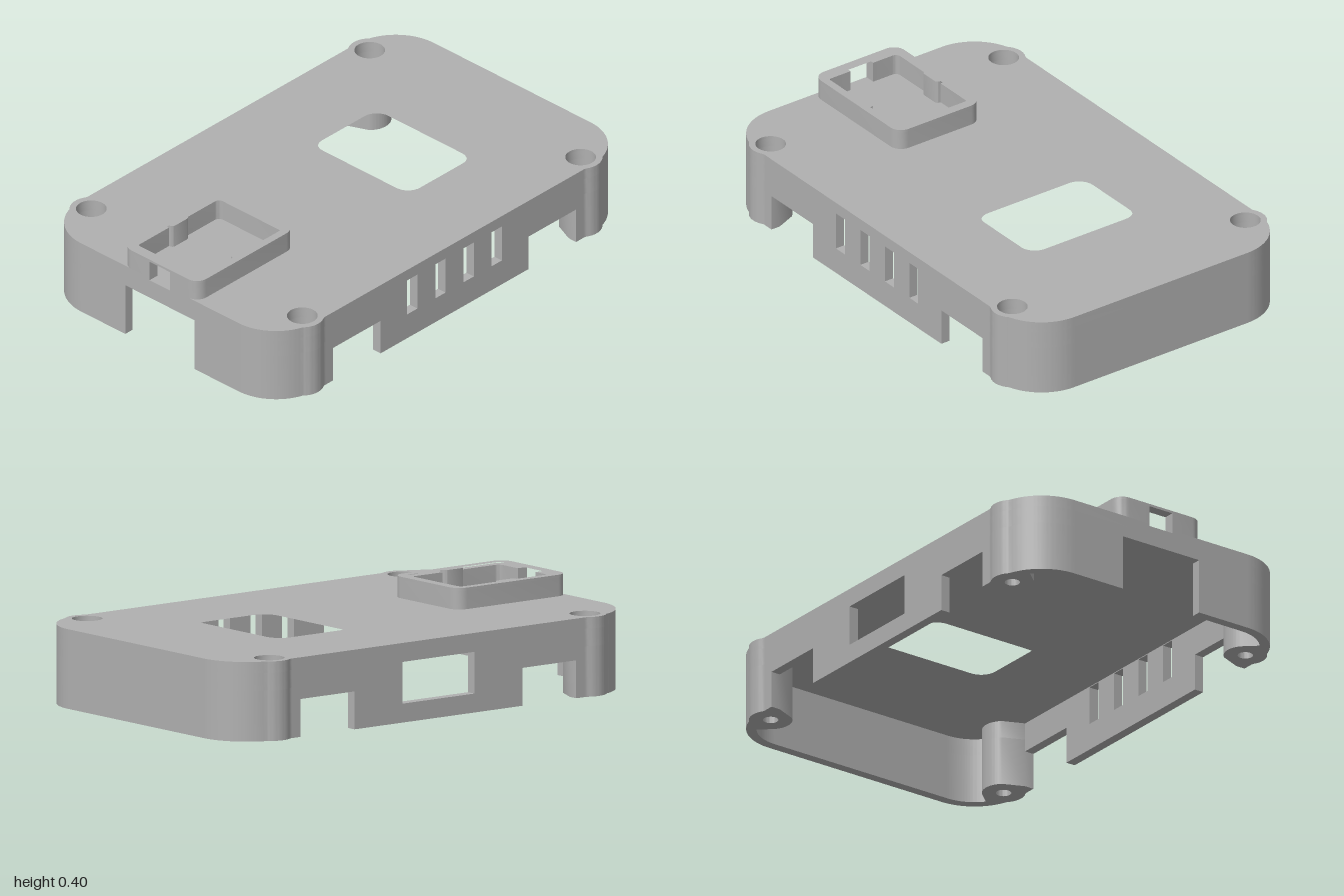
import * as THREE from 'three';
import { toCreasedNormals } from 'three/addons/utils/BufferGeometryUtils.js';

const TOP = 0.315, CEIL = 0.27, FLOOR = 0.305; // lid top, lid underside, pocket floor
const WALL = 0.04, X = 0.635, Z = 1, R = 0.215; // shell size and corner radius
const CX = X - R, CZ = Z - R; // corner arc centre
const BOSS = { x: 0.565, z: 0.79, r: 0.085 };
const NOTCH = 0.69; // where the corner posts end along z

export function createModel() {
  const grey = new THREE.MeshStandardMaterial({ color: 0xb0b0b0 });
  grey.name = 'grey plastic';
  const model = new THREE.Group();
  model.name = 'caseLid';

  const toShape = (pts, holes = []) => {
    const s = new THREE.Shape(pts.map(([a, b]) => new THREE.Vector2(a, b)));
    s.holes = holes.map((h) => new THREE.Path(h.map(([a, b]) => new THREE.Vector2(a, b))));
    return s;
  };
  const add = (name, geo) => {
    const mesh = new THREE.Mesh(toCreasedNormals(geo, 0.6), grey);
    mesh.name = name;
    model.add(mesh);
  };
  const extrude = (shape, depth) => new THREE.ExtrudeGeometry(shape, { depth, bevelEnabled: false });
  // plan outline in (x, z), filled between two heights
  const slab = (name, pts, holes, y0, y1) =>
    add(name, extrude(toShape(pts, holes), y1 - y0).rotateX(Math.PI / 2).translate(0, y1, 0));

  const circle = (x, z, r, n = 32) => Array.from({ length: n }, (_, i) => {
    const a = (i / n) * Math.PI * 2;
    return [x + r * Math.cos(a), z + r * Math.sin(a)];
  });
  const rect = (a0, a1, b0, b1) => [[a0, b0], [a1, b0], [a1, b1], [a0, b1]];
  // rounded rectangle starting and ending at the +z side, with an optional gap there
  const rounded = (x, z0, z1, r, gap = 0) => {
    const pts = gap ? [[gap, z1]] : [];
    [[1, z1 - r, 90], [1, z0 + r, 0], [-1, z0 + r, -90], [-1, z1 - r, -180]].forEach(([s, cz, start]) => {
      for (let i = 0; i <= 8; i++) {
        const a = THREE.MathUtils.degToRad(start - i * 11.25);
        pts.push([s * (x - r) + r * Math.cos(a), cz + r * Math.sin(a)]);
      }
    });
    if (gap) pts.push([-gap, z1]);
    return pts;
  };

  // distance from the corner centre to the boss circle along angle a
  const bossDist = (a, side) => {
    const dx = BOSS.x - CX, dz = BOSS.z - CZ;
    const along = dx * Math.cos(a) + dz * Math.sin(a);
    const disc = along * along - (dx * dx + dz * dz - BOSS.r * BOSS.r);
    return disc < 0 || along < 0 ? null : along + side * Math.sqrt(disc);
  };
  const sweep = (from, to, n, radius) => Array.from({ length: n + 1 }, (_, i) => {
    const a = from + ((to - from) * i) / n, r = radius(a);
    return [CX + r * Math.cos(a), CZ + r * Math.sin(a)];
  });
  const outerEnd = -Math.atan((CZ - NOTCH) / R);
  const outer = sweep(Math.PI / 2, outerEnd, 60, (a) =>
    Math.max(a >= 0 ? R : R / Math.cos(a), bossDist(a, 1) ?? 0));
  const inR = R - WALL;
  const inner = sweep(-0.585, Math.PI / 2, 70, (a) =>
    Math.min(a >= 0 ? inR : inR / Math.cos(a), bossDist(a, -1) ?? 9));
  const corner = [...outer, [X - WALL, NOTCH], ...inner];
  const flip = (pts, sx, sz) => pts.map(([x, z]) => [x * sx, z * sz]);
  const signs = [[1, 1], [1, -1], [-1, -1], [-1, 1]];

  // corner walls with screw bosses, wide bore above a narrow screw hole
  signs.forEach(([sx, sz]) => {
    const pts = flip(corner, sx, sz);
    slab('cornerPost', pts, [circle(sx * BOSS.x, sz * BOSS.z, 0.03)], 0, 0.2);
    slab('cornerPostBore', pts, [circle(sx * BOSS.x, sz * BOSS.z, 0.06)], 0.2, CEIL);
  });

  // side walls with foot notches; vents on one side, a port on the other
  const sideWall = [[-NOTCH, 0.15], [-0.42, 0.15], [-0.42, 0], [0.42, 0], [0.42, 0.15],
    [NOTCH, 0.15], [NOTCH, CEIL], [-NOTCH, CEIL]];
  const vents = [-0.24, -0.08, 0.08, 0.24].map((c) => rect(c - 0.029, c + 0.029, 0.11, 0.267));
  const port = [rect(-0.18, 0.18, 0.075, 0.24)];
  add('ventWall', extrude(toShape(sideWall, vents), WALL).rotateY(Math.PI / 2).translate(X - WALL, 0, 0));
  add('portWall', extrude(toShape(sideWall, port), WALL).rotateY(Math.PI / 2).translate(-X, 0, 0));

  // end walls, the front one with a wide opening
  const frontWall = [[-CX, 0], [-0.185, 0], [-0.185, 0.225], [0.185, 0.225], [0.185, 0],
    [CX, 0], [CX, CEIL], [-CX, CEIL]];
  add('frontWall', extrude(toShape(frontWall), WALL).translate(0, 0, Z - WALL));
  add('backWall', extrude(toShape(rect(-CX, CX, 0, CEIL)), WALL).translate(0, 0, -Z));

  // lid plate: the upper layer is cut away for the pocket and its front slot
  const outline = signs.flatMap(([sx, sz]) => {
    const pts = flip(outer, sx, sz);
    return sx * sz > 0 ? pts : pts.reverse();
  });
  const holes = [
    ...signs.map(([sx, sz]) => circle(sx * BOSS.x, sz * BOSS.z, 0.06)),
    rounded(0.262, -0.505, -0.135, 0.065),
  ];
  const GAP = 0.055;
  const pocket = rounded(0.17, 0.485, 0.955, 0.022, GAP);
  slab('lidPlate', outline, holes, CEIL, FLOOR);
  slab('lidSurface', [...outline, [-GAP, Z], ...[...pocket].reverse(), [GAP, Z]], holes, FLOOR, TOP);

  // raised pocket rim, open at the front below a thin bridge
  const rim = rounded(0.202, 0.445, Z, 0.05, GAP);
  slab('pocketRim', [...rim, ...[...pocket].reverse()], [], TOP, 0.39);
  slab('pocketRimTop', rounded(0.202, 0.445, Z, 0.05), [rounded(0.17, 0.485, 0.955, 0.022)], 0.39, 0.4);

  // retaining pins inside the pocket
  [-1, 1].forEach((s) => {
    const pin = rounded(0.02, 0.67, 0.767, 0.015).map(([x, z]) => [x + s * 0.172, z]);
    slab('pocketPin', pin, [], FLOOR, 0.4);
  });
  return model;
}
